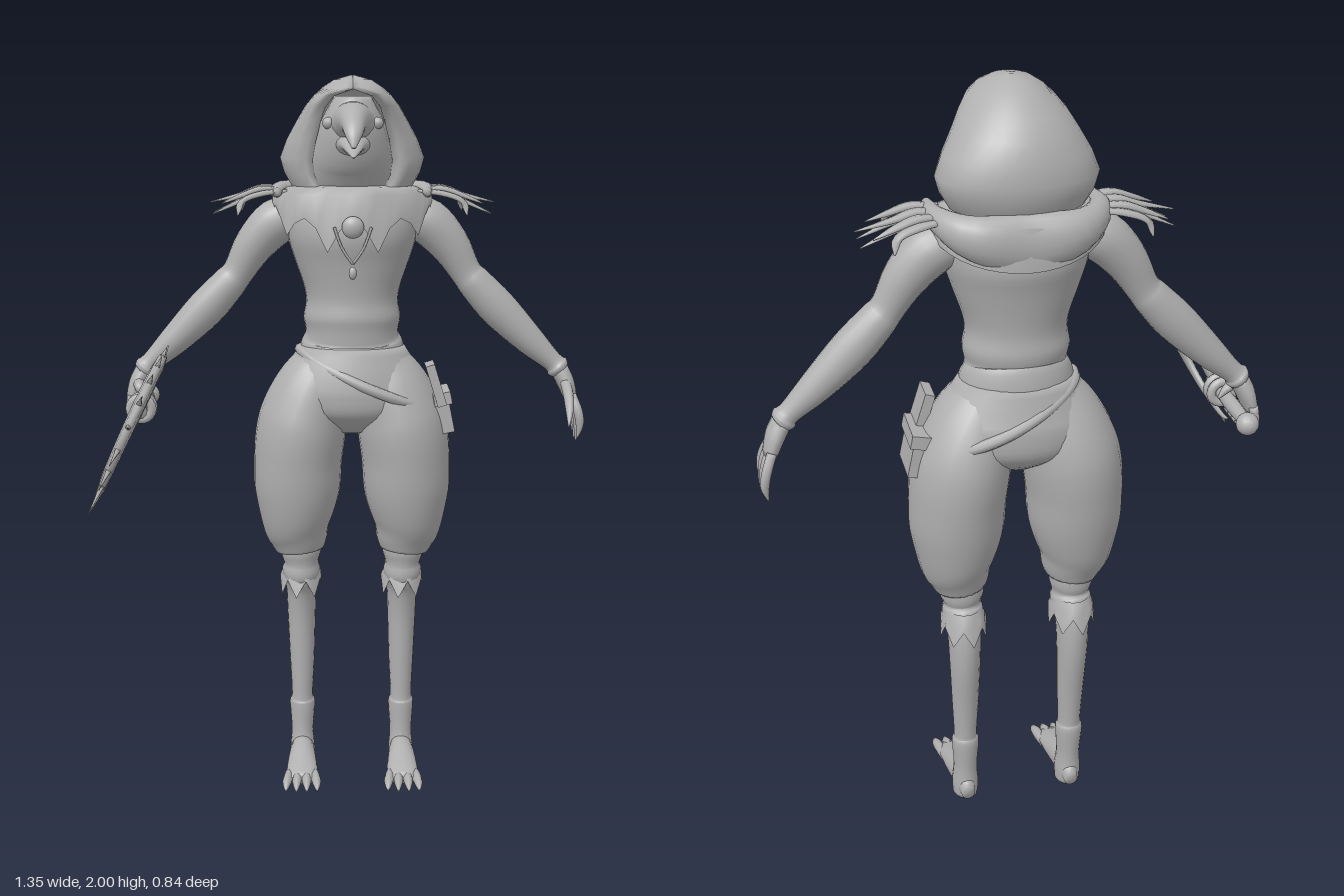
import * as THREE from 'three';

const grey = new THREE.MeshStandardMaterial({ color: 0xb0b0b0, side: THREE.DoubleSide });
grey.name = 'clay grey';
const V = (x, y, z) => new THREE.Vector3(x, y, z);
const UP = V(0, 1, 0), FRONT = V(0, 0, 1);

// Skin a list of closed rings (counter-clockwise about the travel direction)
function skin(rings, caps = true) {
  const n = rings[0].length, m = rings.length, pos = [], idx = [];
  rings.forEach(r => r.forEach(p => pos.push(p.x, p.y, p.z)));
  for (let i = 0; i < m - 1; i++) for (let j = 0; j < n; j++) {
    const k = (j + 1) % n, a = i * n + j, b = i * n + k, c = b + n, d = a + n;
    idx.push(a, b, c, a, c, d);
  }
  if (caps) [0, m - 1].forEach((r, e) => {
    const c = rings[r].reduce((s, p) => s.add(p), V(0, 0, 0)).divideScalar(n);
    const ci = pos.length / 3;
    pos.push(c.x, c.y, c.z);
    for (let j = 0; j < n; j++) {
      const a = r * n + j, b = r * n + (j + 1) % n;
      e ? idx.push(ci, a, b) : idx.push(ci, b, a);
    }
  });
  const g = new THREE.BufferGeometry();
  g.setAttribute('position', new THREE.Float32BufferAttribute(pos, 3));
  g.setIndex(idx);
  g.computeVertexNormals();
  return g;
}

// Smooth elliptical limb through rows [x, y, z, ra, rb]; rb lies along ref
function limb(rows, ref = FRONT, sides = 18, sub = 4) {
  const path = new THREE.CatmullRomCurve3(rows.map(r => V(r[0], r[1], r[2])), false, 'catmullrom');
  const rad = new THREE.CatmullRomCurve3(rows.map(r => V(r[3], r[4] ?? r[3], 0)), false, 'catmullrom');
  const steps = (rows.length - 1) * sub, rings = [];
  for (let i = 0; i <= steps; i++) {
    const c = path.getPoint(i / steps), t = path.getTangent(i / steps), r = rad.getPoint(i / steps);
    const side = ref.clone().cross(t).normalize(), up = t.clone().cross(side);
    rings.push(Array.from({ length: sides }, (_, j) => {
      const a = j / sides * Math.PI * 2;
      return c.clone().addScaledVector(side, Math.cos(a) * r.x).addScaledVector(up, Math.sin(a) * r.y);
    }));
  }
  return skin(rings);
}

// Ragged cloth ring: rows go from the bottom up, [rx, rz, y(angle, index)]
const ragged = (cx, cz, rows, n) => skin(rows.map(([rx, rz, y]) => Array.from({ length: n }, (_, j) => {
  const a = j / n * Math.PI * 2;
  return V(cx - Math.cos(a) * rx, y(a, j), cz + Math.sin(a) * rz);
})), false);

export function createModel() {
  const model = new THREE.Group(), body = new THREE.Group(), sickle = new THREE.Group();
  model.name = 'hoodedBirdFigure';
  body.name = 'body';
  sickle.name = 'sickle';
  body.position.x = .015;
  model.add(body, sickle);
  const addTo = parent => (name, geo, x = 0, y = 0, z = 0) => {
    const m = new THREE.Mesh(geo, grey);
    m.name = name;
    m.position.set(x, y, z);
    parent.add(m);
    return m;
  };
  const add = addTo(body), addSickle = addTo(sickle);

  // Torso and hips
  add('torso', limb([[0, 1.2, -.265, .155, .12], [0, 1.27, -.265, .143, .115], [0, 1.3, -.26, .13, .106],
    [0, 1.34, -.26, .136, .113], [0, 1.385, -.26, .129, .109], [0, 1.43, -.26, .136, .113], [0, 1.5, -.26, .16, .126],
    [0, 1.57, -.26, .18, .142], [0, 1.64, -.265, .18, .13], [0, 1.69, -.265, .14, .1], [0, 1.72, -.265, .08, .07]], FRONT, 28));
  add('hips', limb([[0, 1.015, -.268, .06, .06], [0, 1.07, -.268, .19, .13], [0, 1.13, -.267, .215, .143], [0, 1.18, -.265, .197, .136],
    [0, 1.26, -.265, .147, .116]], FRONT, 28));

  // Head, beak and eyes
  add('head', limb([[0, 1.6, -.25, .09, .07], [0, 1.7, -.24, .115, .075], [0, 1.76, -.22, .115, .088], [0, 1.81, -.2, .105, .1],
    [0, 1.88, -.185, .085, .1], [0, 1.945, -.185, .05, .075]]));
  add('upperBeak', limb([[0, 1.875, -.14, .065, .06], [0, 1.882, -.07, .046, .046], [0, 1.872, -.01, .032, .03],
    [0, 1.848, .03, .023, .018], [0, 1.815, .055, .006, .004]], UP));
  add('lowerBeak', limb([[0, 1.82, -.14, .055, .04], [0, 1.818, -.06, .034, .02], [0, 1.806, -.01, .02, .01],
    [0, 1.79, .035, .004, .003]], UP));
  for (const s of [-1, 1]) add('eye', new THREE.SphereGeometry(.016, 12, 8), s * .066, 1.875, -.125);

  // Hood: C-shaped sections [y, half width, centre z, half depth, opening half width]
  const hood = [[1.65, .13, -.25, .1, .05], [1.7, .165, -.262, .12, .1], [1.74, .188, -.268, .132, .122], [1.78, .199, -.27, .135, .128],
    [1.83, .18, -.263, .135, .118], [1.88, .152, -.245, .135, .103], [1.92, .128, -.218, .132, .088],
    [1.95, .103, -.19, .125, .06], [1.968, .083, -.187, .107, 0], [1.988, .052, -.192, .065, 0], [2, .008, -.2, .01, 0]];
  add('hood', skin(hood.map(([y, w, zc, d, open]) => {
    const T = Math.PI - Math.asin(open / w), ring = [];
    for (const [k, dir] of [[1, 1], [.84, -1]]) for (let j = 0; j <= 24; j++) {
      const t = dir * T * (j / 12 - 1);
      ring.push(V(-Math.sin(t) * w * k, y - (1 - k) * .03, zc - Math.cos(t) * d * k));
    }
    return ring;
  })));

  // Mantle with a jagged front hem, drooping cowl and pendant
  const hem = (a, j) => {
    const f = Math.sin(a);
    return f < -.01 ? 1.67 + .09 * f : 1.67 - .06 * f - (j % 4 === 0 ? .03 + .055 * f : j % 2 ? .02 : 0);
  };
  add('mantle', ragged(0, -.262, [[.222, .158, hem], [.222, .153, () => 1.685], [.17, .125, () => 1.703], [.1, .085, () => 1.71]], 40));
  add('cowl', limb([[-.205, 1.69, -.18, .012, .012], [-.195, 1.685, -.3, .03, .03], [-.125, 1.66, -.375, .042, .055],
    [0, 1.64, -.378, .042, .075], [.125, 1.66, -.375, .042, .055], [.195, 1.685, -.3, .03, .03], [.205, 1.69, -.18, .012, .012]], UP));
  add('pendant', new THREE.SphereGeometry(.03, 16, 12), 0, 1.6, -.1).scale.z = .6;
  for (const s of [-1, 1])
    add('pendantCord', limb([[s * .05, 1.6, -.105, .004], [s * .03, 1.545, -.108, .004], [0, 1.5, -.115, .004]], FRONT, 6));
  add('pendantDrop', new THREE.SphereGeometry(.011, 10, 8), 0, 1.475, -.12).scale.y = 1.6;

  for (const s of [-1, 1]) {
    const side = (name, rows, ...o) => add(name, limb(rows.map(([x, ...r]) => [s * x, ...r]), ...o));

    // Baggy trousers, lower legs and ragged knee cuffs
    side('trouserLeg', [[.15, .665, -.265, .07, .075], [.153, .695, -.265, .083, .088], [.16, .75, -.265, .1, .114],
      [.157, .84, -.265, .122, .136], [.154, .93, -.267, .126, .147], [.147, 1, -.268, .128, .152], [.135, 1.06, -.268, .124, .148],
      [.108, 1.14, -.265, .108, .128], [.07, 1.22, -.265, .08, .095]], FRONT, 24);
    side('lowerLeg', [[.148, .7, -.28, .06, .06], [.148, .65, -.28, .058, .06], [.147, .62, -.28, .05, .054],
      [.147, .595, -.285, .055, .063], [.147, .54, -.305, .045, .06], [.147, .45, -.312, .041, .052], [.146, .32, -.305, .036, .04],
      [.146, .21, -.3, .031, .034], [.146, .185, -.3, .037, .038], [.146, .1, -.295, .032, .035], [.146, .045, -.29, .036, .042], [.146, .005, -.29, .034, .04]]);
    add('kneeCuff', ragged(s * .147, -.297, [[.062, .078, (a, j) => j % 2 ? .525 : .575], [.057, .067, () => .59], [.046, .055, () => .615]], 14));

    // Clawed feet
    side('foot', [[.146, .03, -.34, .018, .024], [.146, .046, -.27, .033, .044], [.146, .032, -.17, .044, .028], [.146, .018, -.1, .044, .015]], UP);
    for (const d of [-1.5, -.5, .5, 1.5]) side('toe', [[.146 + d * .022, .022, -.15, .013, .015], [.146 + d * .027, .02, -.1, .014, .017],
      [.146 + d * .029, .014, -.07, .01, .012], [.146 + d * .03, .005, -.04 - Math.abs(d) * .006, .002, .003]], UP, 8);

    // Arms
    side('arm', [[.15, 1.62, -.27, .055, .055], [.21, 1.603, -.27, .064, .064], [.272, 1.54, -.27, .056, .054],
      [.318, 1.465, -.27, .044, .042], [.345, 1.432, -.27, .048, .047], [.412, 1.36, -.27, .053, .049], [.502, 1.27, -.27, .042, .041],
      [.567, 1.21, -.27, .029, .031], [.582, 1.195, -.27, .034, .038], [.592, 1.185, -.27, .029, .034]]);
    side('palm', [[.587, 1.19, -.27, .026, .034], [.607, 1.15, -.27, .025, .045], [.622, 1.105, -.27, .019, .045]]);
    for (let i = 0; i < 4; i++) {
      const z = -.31 + i * .027, f = -.27 + (z + .27) * 1.4, drop = i === 1 || i === 2 ? .015 : 0;
      side('finger', s > 0
        ? [[.62, 1.12, z, .013], [.637, 1.075, f, .013], [.643, 1.035 - drop, f, .011], [.637, 1 - drop, f, .002]]
        : [[.62, 1.12, z, .013], [.625, 1.07, z, .013], [.6, 1.06, z, .012], [.57, 1.085, z, .003]], FRONT, 8);
    }
    side('thumb', s > 0 ? [[.602, 1.16, -.25, .016], [.607, 1.125, -.205, .015], [.607, 1.085, -.17, .011], [.602, 1.045, -.14, .002]]
      : [[.602, 1.16, -.25, .016], [.595, 1.145, -.215, .015], [.575, 1.13, -.215, .011], [.555, 1.11, -.22, .003]], UP, 8);

    // Fanned shoulder feathers in two layers
    for (let i = 0; i < 7; i++) {
      const d = (i - 3) / 3, lift = i % 2 * .03, reach = .392 - .08 * d * d;
      side('shoulderFeather', [[.18, 1.69, -.265 + d * .06, .012, .006], [.245, 1.685 + lift * .4, -.265 + d * .075, .02, .008],
        [.3, 1.665 + lift * .5, -.265 + d * .085, .016, .007], [reach, 1.628 + lift, -.265 + d * .1, .002, .002]], UP, 8);
    }
  }

  // Slanted belt with pouch and book
  const loop = Array.from({ length: 24 }, (_, i) => {
    const a = i / 24 * Math.PI * 2, c = Math.cos(a);
    return V(.048 + .195 * c, 1.165 - .083 * c - .012 * Math.sin(a) ** 2, -.266 + (.136 + .006 * c) * Math.sin(a));
  });
  add('belt', new THREE.TubeGeometry(new THREE.CatmullRomCurve3(loop, true), 72, .015, 8, true));
  add('pouch', new THREE.BoxGeometry(.042, .11, .13), .257, 1.072, -.255).rotation.z = .2;
  add('pouchFlap', new THREE.BoxGeometry(.05, .035, .14), .253, 1.115, -.255).rotation.z = .2;
  add('book', new THREE.BoxGeometry(.026, .12, .085), .234, 1.155, -.215).rotation.z = .3;

  // Sickle: curved blade in a tilted plane, u forward and v up
  const P = (u, v) => [-.57 + v * .43, 1.1 + v * .9, .1 + u];
  const N = V(-.9, .43, 0).normalize();
  const polar = (a, r) => P(Math.cos(a) * r, Math.sin(a) * r);
  const blade = Array.from({ length: 25 }, (_, i) => {
    const k = i / 24, a = THREE.MathUtils.degToRad(202 - 330 * k);
    const th = .072 * Math.sin(Math.PI * k) + .035 * (1 - k) + .002;
    return [...polar(a, .213 - th / 2), th / 2, .004 + th * .13];
  });
  addSickle('sickleBlade', limb(blade, N, 8, 2));
  for (let i = 0; i < 14; i++) {
    const deg = 140 - i * 18.5, a = THREE.MathUtils.degToRad(deg);
    const len = .02 + .09 * Math.exp(-(((deg + 15) / 50) ** 2)) * (i % 2 ? .65 : 1);
    addSickle('bladeSpike', limb([[...polar(a, .2), .008], [...polar(a, .212 + len * .4), .004], [...polar(a, .212 + len), .001]], N, 6, 2));
  }
  addSickle('sickleHilt', limb([[-.57, 1.1, -.36, .016], [-.57, 1.1, -.25, .02], [-.57, 1.1, -.16, .018], [-.57, 1.1, -.09, .022]], UP, 12));
  addSickle('pommel', new THREE.SphereGeometry(.03, 14, 10), -.57, 1.1, -.362);
  for (const z of [-.165, -.135]) addSickle('hiltRing', new THREE.TorusGeometry(.03, .013, 8, 18), -.57, 1.1, z);

  return model;
}
